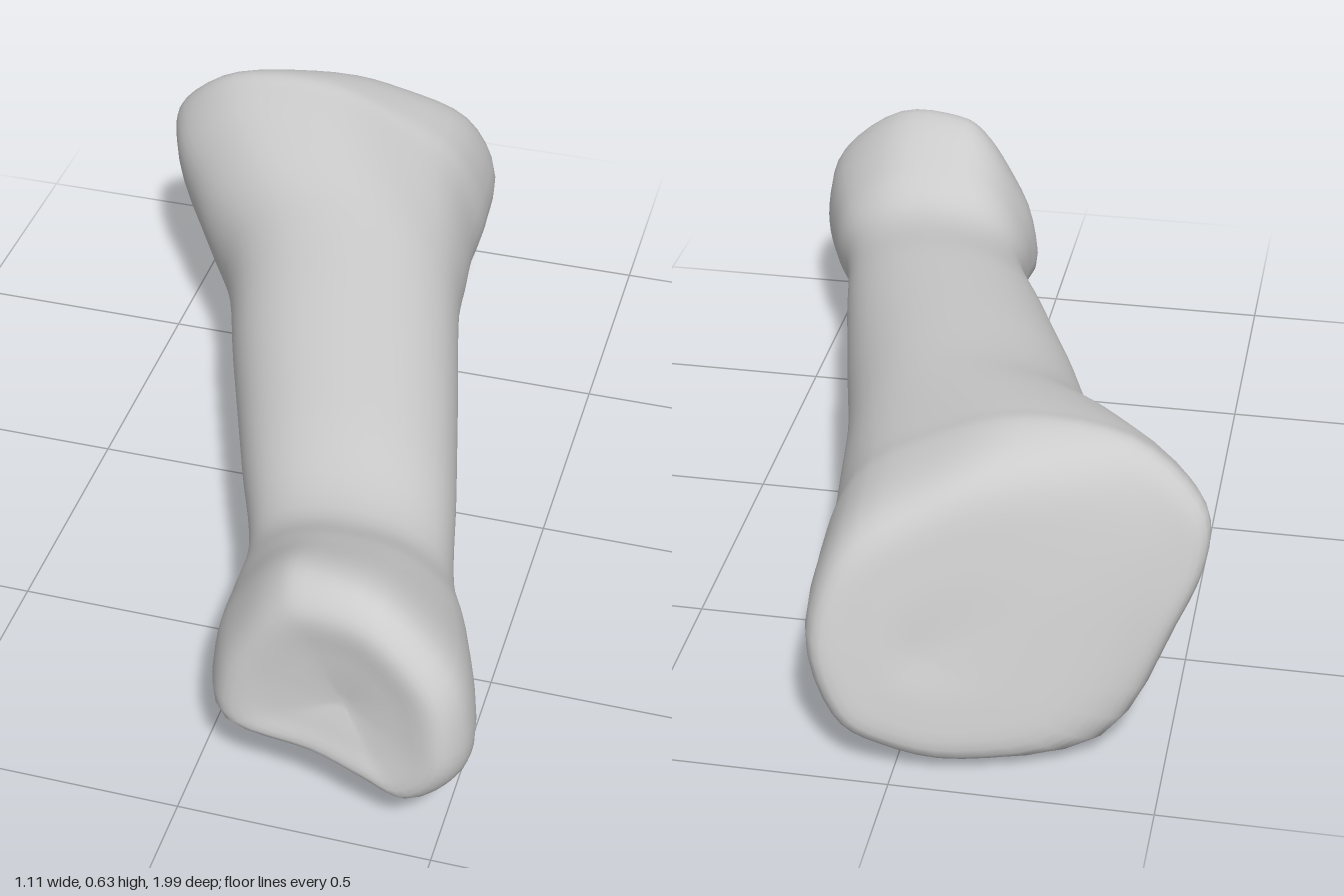
import * as THREE from 'three';
import { mergeVertices } from 'three/addons/utils/BufferGeometryUtils.js';

const AROUND = 48, ALONG = 72;

// Outlines run from -x over the top to +x and back underneath.
const baseOutline = [[-0.55, 0.4], [-0.53, 0.5], [-0.4, 0.6], [-0.2, 0.62], [-0.04, 0.57], [0.12, 0.47],
  [0.185, 0.28], [0.13, 0.11], [0.03, 0.04], [-0.14, 0], [-0.38, 0.04], [-0.5, 0.26]];
const headOutline = [[0.03, 0.29], [0.085, 0.41], [0.15, 0.5], [0.22, 0.535], [0.37, 0.525], [0.51, 0.41],
  [0.55, 0.28], [0.54, 0.18], [0.465, 0.105], [0.37, 0.125], [0.24, 0.155], [0.04, 0.165]];

// Rounded shaft section, a little squarer below than above
function shaftOutline(x0, x1, y0, y1) {
  return baseOutline.map((_, i) => {
    const a = Math.PI - (i / 12) * Math.PI * 2;
    const p = Math.sin(a) < -0.01 ? 0.8 : 0.95;
    const bend = (v) => Math.sign(v) * Math.pow(Math.abs(v), p);
    return [(x0 + x1) / 2 + bend(Math.cos(a)) * (x1 - x0) / 2, (y0 + y1) / 2 + bend(Math.sin(a)) * (y1 - y0) / 2];
  });
}

const mix = (a, b, t) => a.map(([x, y], i) => [x + (b[i][0] - x) * t, y + (b[i][1] - y) * t]);
const shrink = (o, [cx, cy], s) => o.map(([x, y]) => [cx + (x - cx) * s, cy + (y - cy) * s]);

// Places an outline in space; zOf gives the depth, which may lean with x and y
const place = (outline, zOf) => outline.map(([x, y]) =>
  new THREE.Vector3(x, y, typeof zOf === 'number' ? zOf : zOf(x, y)));

// Smooth skin through a row of sections
function loft(sections) {
  const rings = sections.map((s) => {
    const c = new THREE.CatmullRomCurve3(s, true, 'catmullrom', 0.5);
    return Array.from({ length: AROUND }, (_, j) => c.getPoint(j / AROUND));
  });
  const positions = [], index = [];
  for (let j = 0; j < AROUND; j++) {
    const column = new THREE.CatmullRomCurve3(rings.map((r) => r[j]), false, 'centripetal');
    for (let i = 0; i <= ALONG; i++) positions.push(...column.getPoint(i / ALONG).toArray());
  }
  const id = (i, j) => (j % AROUND) * (ALONG + 1) + i;
  for (let j = 0; j < AROUND; j++) {
    for (let i = 0; i < ALONG; i++) {
      const a = id(i, j), b = id(i, j + 1), c = id(i + 1, j), d = id(i + 1, j + 1);
      if (i > 0) index.push(a, c, b);
      if (i < ALONG - 1) index.push(b, c, d);
    }
  }
  let geometry = new THREE.BufferGeometry();
  geometry.setAttribute('position', new THREE.Float32BufferAttribute(positions, 3));
  geometry.setIndex(index);
  geometry = mergeVertices(geometry, 1e-5);
  geometry.computeVertexNormals();
  return geometry;
}

export function createModel() {
  const rear = shaftOutline(-0.31, 0.23, 0.09, 0.545);
  const neck = shaftOutline(0.01, 0.43, 0.125, 0.425);
  const baseMid = [-0.05, 0.25], headMid = [0.31, 0.3];

  // Leaning end faces
  const baseFace = (z) => (x, y) => z - 0.25 * x + 0.25 * (y - 0.2);
  const headFace = (z) => (x, y) => z + 0.15 * (x - 0.28) - 0.1 * (y - 0.3);

  const sections = [
    // broad base with its domed joint face
    place(shrink(baseOutline, baseMid, 0), baseFace(-0.955)),
    place(shrink(baseOutline, baseMid, 0.45), baseFace(-0.96)),
    place(shrink(baseOutline, baseMid, 0.85), baseFace(-0.94)),
    place(baseOutline, (x, y) => -0.79 + 0.25 * (y - 0.2)),
    place(mix(rear, baseOutline, 0.9), -0.62),
    place(mix(rear, baseOutline, 0.5), -0.47),
    // tapering shaft
    place(rear, -0.3),
    place(mix(rear, neck, 0.35), 0),
    place(mix(rear, neck, 0.7), 0.3),
    place(neck, 0.56),
    // head with two condyles and a shallow groove between them
    place(mix(neck, headOutline, 0.5), 0.7),
    place(headOutline, (x) => 0.87 + 0.2 * (x - 0.28)),
    place(shrink(headOutline, headMid, 0.82), headFace(0.955)),
    place(shrink(headOutline, headMid, 0.45), headFace(0.95)),
    place(shrink(headOutline, headMid, 0), headFace(0.935)),
  ];

  const bone = new THREE.Mesh(loft(sections), new THREE.MeshStandardMaterial({ color: 0xcccccc }));
  bone.name = 'bone';
  const group = new THREE.Group();
  group.name = 'fingerBone';
  group.add(bone);
  return group;
}
